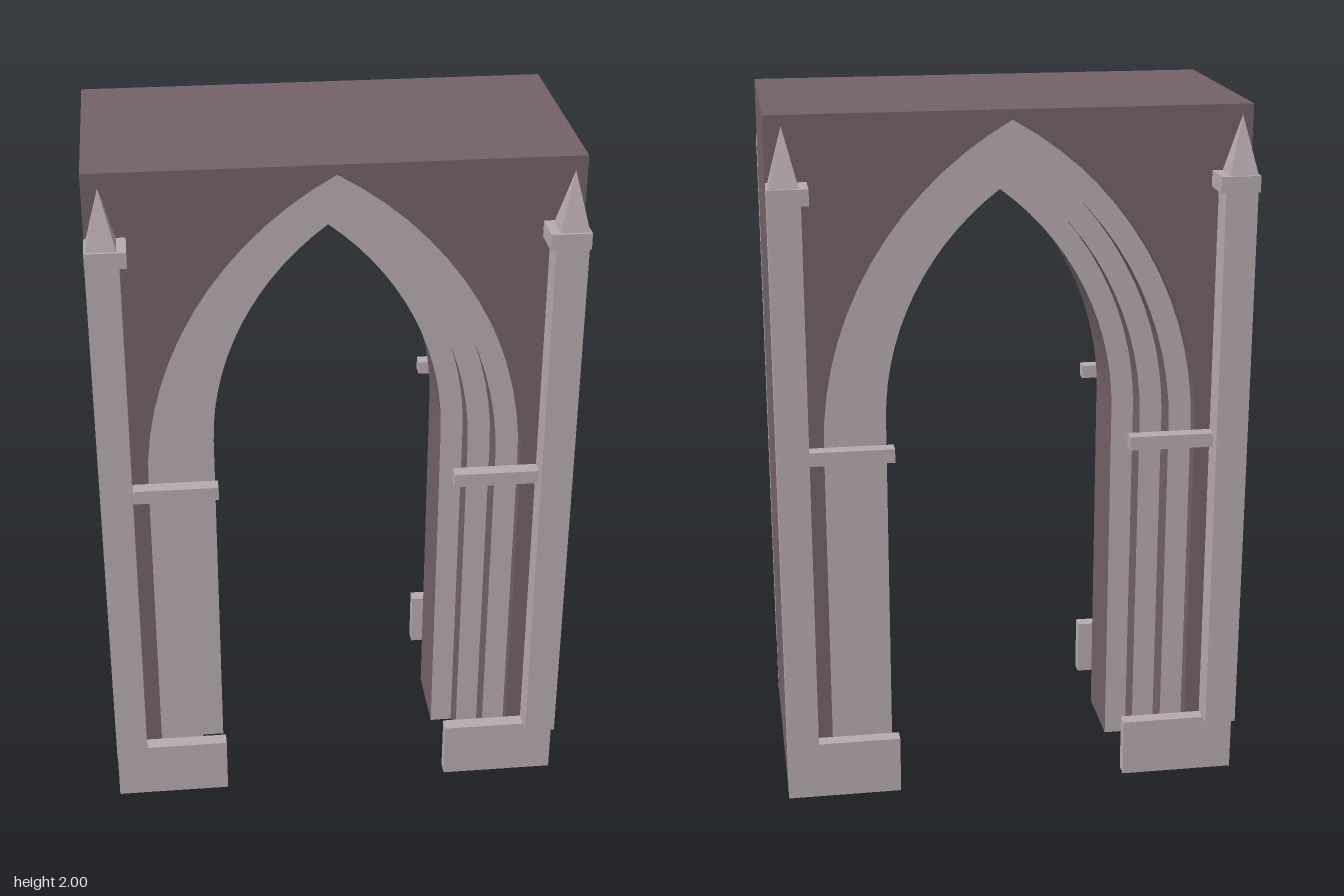
import * as THREE from 'three';

const SPRING = 1.07;      // height where the arch starts to curve
const CENTRE = 0.5025;    // arc centres lie this far beyond the middle line
const STEP = 0.065;       // width of each arch order
const INNER = 0.335;      // half-width of the innermost opening
const OUTER = INNER + 3 * STEP;

// Pointed-arch outline from the right foot over the apex to the left foot
function archPoints(halfWidth, segments = 14) {
  const radius = halfWidth + CENTRE;
  const apexAngle = Math.acos(CENTRE / radius);
  const right = [new THREE.Vector2(halfWidth, 0)];
  for (let i = 0; i <= segments; i++) {
    const a = (apexAngle * i) / segments;
    right.push(new THREE.Vector2(radius * Math.cos(a) - CENTRE, SPRING + radius * Math.sin(a)));
  }
  right[right.length - 1].x = 0;
  const left = right.slice(0, -1).reverse().map((p) => new THREE.Vector2(-p.x, p.y));
  return [...right, ...left];
}

// Extrusion between an outer outline and an inner arch, centred on z = 0
function archSlab(outerPoints, innerHalfWidth, halfDepth) {
  const shape = new THREE.Shape([...outerPoints, ...archPoints(innerHalfWidth).reverse()]);
  const geometry = new THREE.ExtrudeGeometry(shape, { depth: 2 * halfDepth, bevelEnabled: false });
  return geometry.translate(0, 0, -halfDepth);
}

export function createModel() {
  const darkStone = new THREE.MeshStandardMaterial({ color: 0x736268 });
  darkStone.name = 'darkStone';
  const paleStone = new THREE.MeshStandardMaterial({ color: 0xb7aaae });
  paleStone.name = 'paleStone';

  const model = new THREE.Group();
  model.name = 'gothicArchway';

  function add(parent, name, geometry, material) {
    const mesh = new THREE.Mesh(geometry, material);
    mesh.name = name;
    parent.add(mesh);
    return mesh;
  }

  // Box given by its minimum and maximum corners
  function addBox(parent, name, [x0, y0, z0], [x1, y1, z1]) {
    const mesh = add(parent, name, new THREE.BoxGeometry(x1 - x0, y1 - y0, z1 - z0), paleStone);
    mesh.position.set((x0 + x1) / 2, (y0 + y1) / 2, (z0 + z1) / 2);
  }

  // Wall block around the widest arch
  const W = 0.665, D = 0.333;
  const block = [[W, 0], [W, 2], [-W, 2], [-W, 0]].map(([x, y]) => new THREE.Vector2(x, y));
  add(model, 'wall', archSlab(block, OUTER, D), darkStone);

  // Nested arch orders stepping inwards: pale faces, dark reveals
  [0.11, 0.2, 0.29].forEach((halfDepth, i) => {
    const inner = INNER + i * STEP;
    add(model, `archOrder${i + 1}`, archSlab(archPoints(inner + STEP), inner, halfDepth), [paleStone, darkStone]);
  });

  // Plinth, impost and pinnacled buttress at each corner
  const half = 0.04;
  const spire = new THREE.ConeGeometry(half * Math.SQRT2, 0.16, 4, 1, true)
    .rotateY(Math.PI / 4).toNonIndexed();
  spire.computeVertexNormals();

  for (const sx of [-1, 1]) {
    for (const sz of [-1, 1]) {
      const corner = new THREE.Group();
      corner.name = `${sz > 0 ? 'front' : 'back'}${sx > 0 ? 'Left' : 'Right'}Buttress`;
      const box = (name, x0, x1, y0, y1, z1) => addBox(corner, name,
        [Math.min(sx * x0, sx * x1), y0, Math.min(sz * D, sz * z1)],
        [Math.max(sx * x0, sx * x1), y1, Math.max(sz * D, sz * z1)]);
      box('plinth', INNER, W, 0, 0.17, 0.374);
      box('impost', INNER, 0.575, 1.03, 1.07, 0.374);
      box('shaft', 0.575, W, 0.17, 1.775, 0.412);
      box('capital', 0.555, W, 1.775, 1.82, 0.433);
      add(corner, 'spire', spire, paleStone).position.set(sx * 0.62, 1.9, sz * 0.385);
      model.add(corner);
    }
  }

  return model;
}
